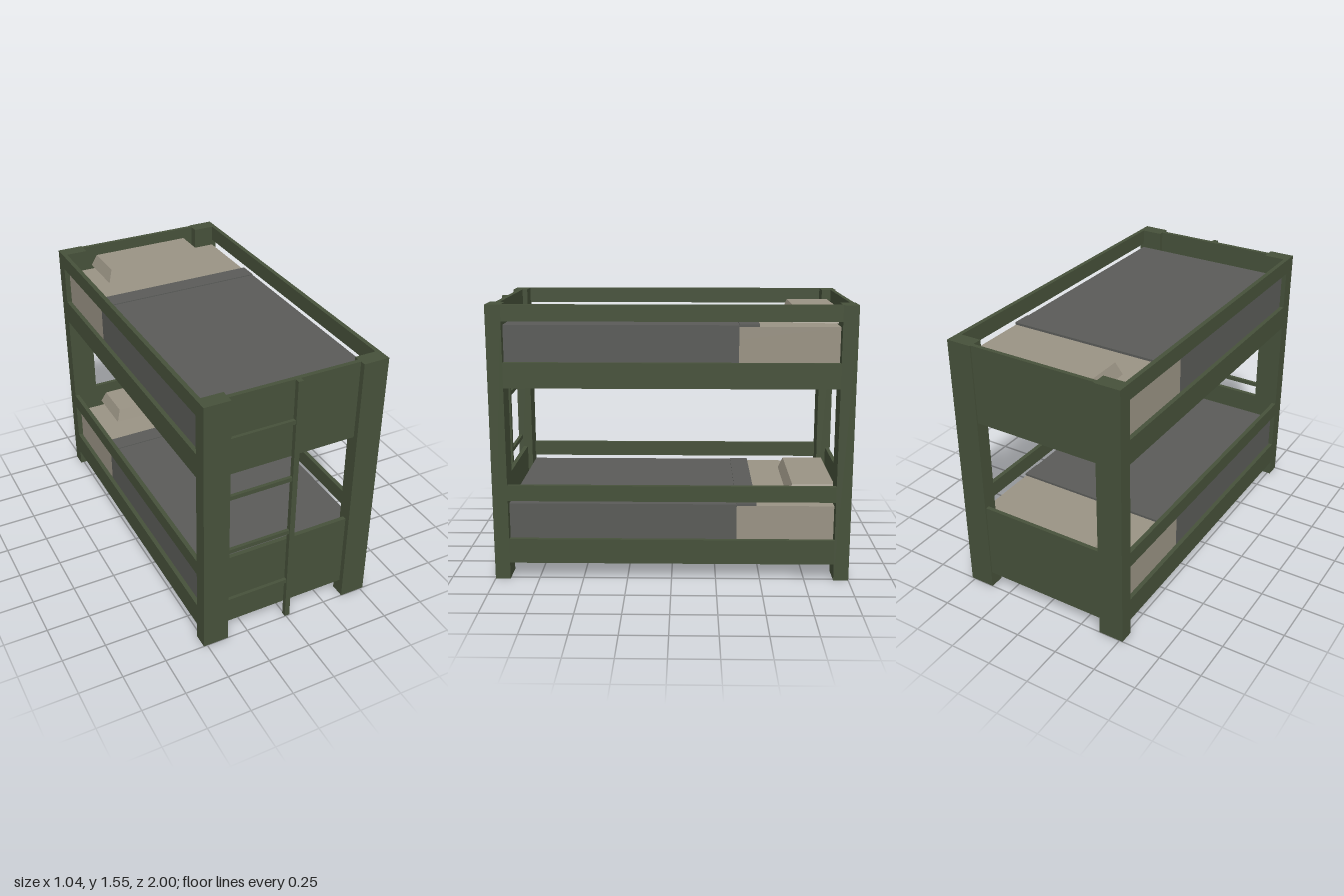
import * as THREE from 'three';

const material = (name, color) => {
  const m = new THREE.MeshStandardMaterial({ color });
  m.name = name;
  return m;
};

export function createModel() {
  const model = new THREE.Group();
  model.name = 'bunkBed';
  const green = material('green painted wood', 0x46513a);
  const grey = material('grey blanket', 0x5a5b58);
  const beige = material('beige linen', 0x9a9384);

  // Box given by its lower and upper bounds on each axis
  const box = (parent, name, mat, [x0, x1], [y0, y1], [z0, z1]) => {
    const mesh = new THREE.Mesh(new THREE.BoxGeometry(x1 - x0, y1 - y0, z1 - z0), mat);
    mesh.position.set((x0 + x1) / 2, (y0 + y1) / 2, (z0 + z1) / 2);
    mesh.name = name;
    parent.add(mesh);
    return mesh;
  };
  const mirrored = (side, a, b) => (side > 0 ? [a, b] : [-b, -a]);

  // Corner posts
  for (const sx of [-1, 1])
    for (const sz of [-1, 1])
      box(model, 'cornerPost', green, mirrored(sx, 0.372, 0.52), [0, 1.555], mirrored(sz, 0.915, 1));

  // Two identical bunks, one above the other
  for (const [name, y] of [['lowerBunk', 0], ['upperBunk', 1.005]]) {
    const bunk = new THREE.Group();
    bunk.name = name;
    bunk.position.y = y;
    model.add(bunk);

    for (const s of [-1, 1]) {
      box(bunk, 'sideRail', green, mirrored(s, 0.495, 0.52), [0.095, 0.236], [-0.915, 0.915]);
      box(bunk, 'guardRail', green, mirrored(s, 0.495, 0.52), [0.46, 0.55], [-0.915, 0.915]);
    }
    box(bunk, 'footBoard', green, [-0.372, 0.372], [0.095, 0.55], [0.944, 0.969]);
    box(bunk, 'headBoard', green, [-0.372, 0.372], [0.095, 0.55], [-0.992, -0.969]);
    box(bunk, 'bedBase', green, [-0.495, 0.495], [0.115, 0.2], [-0.912, 0.912]);

    // Bedding
    box(bunk, 'mattress', beige, [-0.491, 0.491], [0.2, 0.43], [-0.91, 0.905]);
    box(bunk, 'blanket', grey, [-0.494, 0.494], [0.2, 0.439], [-0.365, 0.911]);
    box(bunk, 'blanketFold', grey, [-0.494, 0.494], [0.431, 0.444], [-0.475, -0.365]);

    // Pillow: box with its top face drawn in
    const pillow = box(bunk, 'pillow', beige, [-0.325, 0.325], [0.43, 0.502], [-0.961, -0.665]);
    const p = pillow.geometry.attributes.position;
    for (let i = 0; i < p.count; i++)
      if (p.getY(i) > 0) p.setXYZ(i, p.getX(i) * 0.915, p.getY(i), p.getZ(i) * 0.82);
    pillow.geometry = pillow.geometry.toNonIndexed();
    pillow.geometry.computeVertexNormals();
  }

  // Ladder at the foot end
  const ladder = new THREE.Group();
  ladder.name = 'ladder';
  model.add(ladder);
  box(ladder, 'ladderPole', green, [-0.007, 0.023], [0, 1.555], [0.97, 0.998]);
  for (let i = 0; i < 4; i++) {
    const y = 0.263 + i * 0.352;
    box(ladder, 'rung', green, [-0.372, -0.007], [y - 0.012, y + 0.012], [0.974, 0.993]);
  }
  return model;
}
